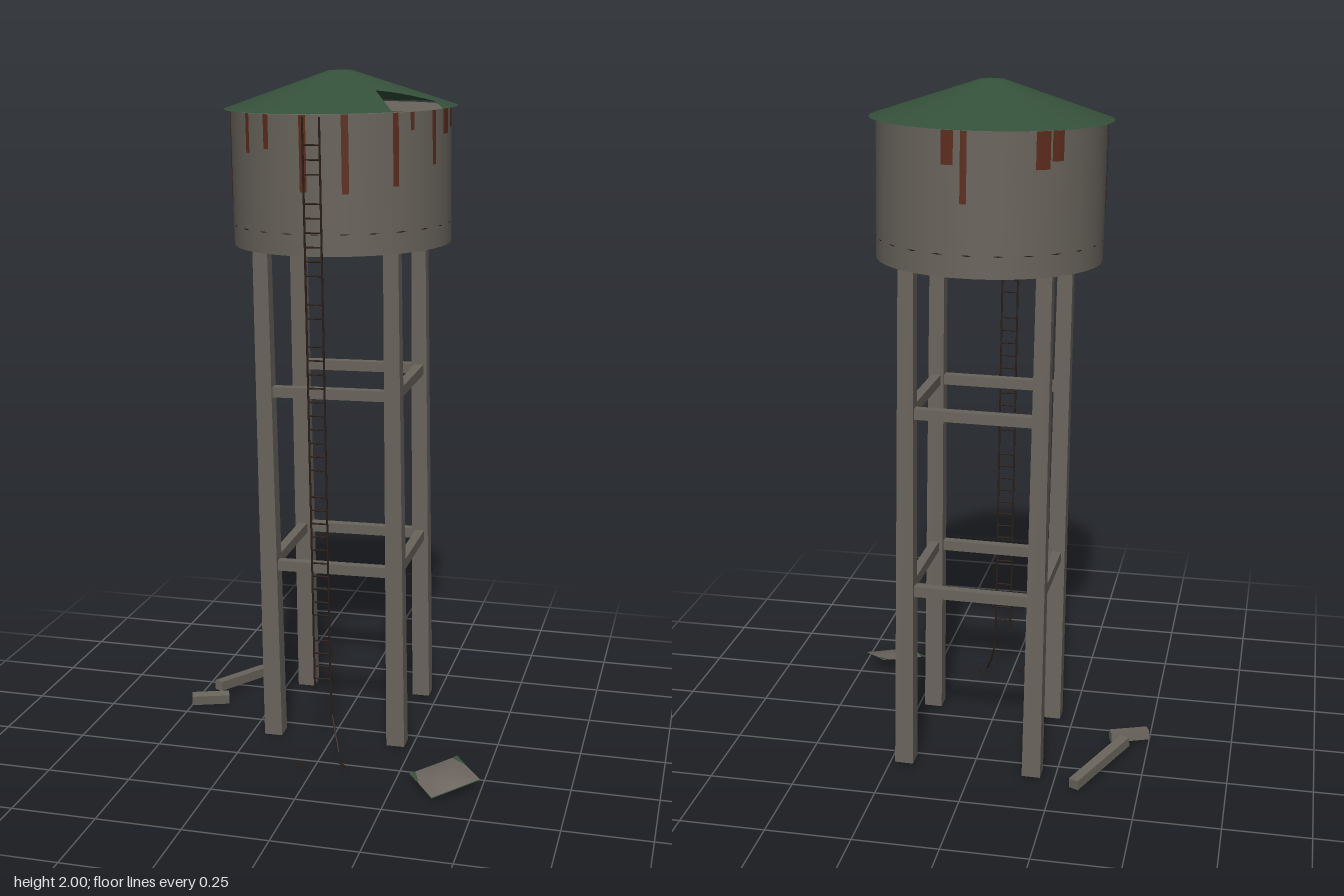
import * as THREE from 'three';

const mat = (name, color, side = THREE.FrontSide) => {
  const m = new THREE.MeshStandardMaterial({ color, side });
  m.name = name;
  return m;
};

export function createModel() {
  const steel = mat('weathered grey', 0x69645c);
  const sheet = mat('sheet grey', 0x69625c, THREE.DoubleSide);
  const green = mat('roof green', 0x34503a, THREE.DoubleSide);
  const rust = mat('rust', 0x5c2c1c, THREE.DoubleSide);
  const iron = mat('dark iron', 0x2c1e17);

  const model = new THREE.Group();
  const tower = new THREE.Group();
  tower.name = 'leaningTower';
  tower.position.set(0.01, 0.005, -0.12);
  tower.rotation.set(0.02, 0, 0.0133);
  model.add(tower);

  const add = (parent, name, geo, material, x = 0, y = 0, z = 0) => {
    const m = new THREE.Mesh(geo, material);
    m.name = name;
    m.position.set(x, y, z);
    parent.add(m);
    return m;
  };
  // Thin round bar through a few points
  const bar = (parent, name, pts, r = 0.003) => {
    for (let i = 0; i + 1 < pts.length; i++) {
      const a = new THREE.Vector3(...pts[i]), b = new THREE.Vector3(...pts[i + 1]);
      const m = add(parent, name, new THREE.CylinderGeometry(r, r, a.distanceTo(b), 6), iron);
      m.position.copy(a).lerp(b, 0.5);
      m.quaternion.setFromUnitVectors(new THREE.Vector3(0, 1, 0), b.sub(a).normalize());
    }
  };

  // Tapered square legs
  const S = 0.192;
  for (const x of [-S, S]) for (const z of [-S, S]) {
    const geo = new THREE.BoxGeometry(0.055, 1.506, 0.055);
    const p = geo.attributes.position;
    for (let i = 0; i < p.count; i++) {
      if (p.getY(i) > 0) p.setXYZ(i, p.getX(i) * 0.8, p.getY(i), p.getZ(i) * 0.8);
    }
    geo.computeVertexNormals();
    add(tower, 'leg', geo, steel, x, 0.753, z);
  }

  // Cross beams; the upper left one has fallen off
  for (const y of [0.547, 1.083]) {
    for (const s of [-1, 1]) {
      add(tower, 'crossBeam', new THREE.BoxGeometry(2 * S, 0.031, 0.028), steel, 0, y, s * S);
      if (s > 0 || y < 1) add(tower, 'sideBeam', new THREE.BoxGeometry(0.028, 0.031, 2 * S), steel, s * S, y, 0);
    }
  }

  // Tank with a seam ring that barely breaks the surface
  add(tower, 'tank', new THREE.CylinderGeometry(0.32, 0.32, 0.388, 48), steel, 0, 1.696, 0);
  const seam = add(tower, 'tankSeam', new THREE.TorusGeometry(0.3186, 0.0025, 6, 24), iron, 0, 1.563, 0);
  seam.rotation.x = Math.PI / 2;

  // Rust streaks: azimuth in degrees from the front, width, top, bottom
  const streaks = [
    [-80, 0.02, 1.89, 1.62], [-40, 0.016, 1.89, 1.78], [-26, 0.018, 1.89, 1.795],
    [-5, 0.02, 1.89, 1.68], [16, 0.02, 1.89, 1.675], [42, 0.018, 1.89, 1.69],
    [52, 0.014, 1.89, 1.84], [68, 0.016, 1.89, 1.74], [81, 0.038, 1.89, 1.82],
    [91, 0.026, 1.89, 1.835], [101, 0.01, 1.81, 1.58], [170, 0.034, 1.89, 1.8],
    [178, 0.018, 1.89, 1.7], [216, 0.042, 1.89, 1.79], [224, 0.036, 1.89, 1.81],
  ];
  for (const [deg, w, top, bottom] of streaks) {
    const a = w / 0.322, h = top - bottom;
    const geo = new THREE.CylinderGeometry(0.323, 0.323, h, 3, 1, true, deg * Math.PI / 180 - a / 2, a);
    add(tower, deg === 101 ? 'stain' : 'rustStreak', geo, deg === 101 ? sheet : rust, 0, bottom + h / 2, 0);
  }

  // Conical roof in polar strips, with a rectangular hole torn at the rim
  const R = 0.34;
  const P1 = [0.135, 0.13], P2 = [0.285, 0.045], P3 = [0.36, 0.175], P4 = [0.208, 0.258];
  const ang = (p) => Math.atan2(p[1], p[0]);
  const hit = (t, a, b) => { // distance along the ray at angle t to the line a-b
    const dx = b[0] - a[0], dz = b[1] - a[1];
    return (a[0] * dz - a[1] * dx) / (Math.cos(t) * dz - Math.sin(t) * dx);
  };
  const cut = (t) => {
    if (t <= ang(P2) || t >= ang(P4)) return R;
    return Math.min(R, t < ang(P1) ? hit(t, P1, P2) : hit(t, P1, P4));
  };
  const roofY = (r) => (r < 0.03 ? 1.998 : 1.893 + 0.103 * (R - r) / (R - 0.035));
  const pos = [];
  const strip = (t0, t1, inner, outer) => {
    const n = Math.max(2, Math.ceil((t1 - t0) / 0.1));
    const pt = (t, r) => [r * Math.cos(t), roofY(r), r * Math.sin(t)];
    for (let i = 0; i < n; i++) {
      const a = t0 + (t1 - t0) * i / n, b = t0 + (t1 - t0) * (i + 1) / n;
      const ia = pt(a, inner(a)), ib = pt(b, inner(b)), oa = pt(a, outer(a)), ob = pt(b, outer(b));
      pos.push(...ia, ...ib, ...oa, ...ib, ...ob, ...oa);
    }
  };
  const e = 1e-5, a2 = ang(P2), a1 = ang(P1), a4 = ang(P4);
  for (const [t0, t1] of [[a4 + e, a2 + Math.PI * 2 - e], [a2 + e, a1], [a1, a4 - e]]) {
    const edge = (t) => cut(t > Math.PI * 2 ? t - Math.PI * 2 : t);
    strip(t0, t1, () => 0, () => 0.035);
    strip(t0, t1, () => 0.035, edge);
  }
  // Slivers of rim left beside the hole
  strip(a2, 0.326, (t) => Math.min(R, hit(t, P2, P3)), () => R);
  strip(0.79, a4, (t) => Math.min(R, hit(t, P4, P3)), () => R);
  const roofGeo = new THREE.BufferGeometry();
  roofGeo.setAttribute('position', new THREE.Float32BufferAttribute(pos, 3));
  // Smooth cone normals
  const nor = [];
  for (let i = 0; i < pos.length; i += 3) {
    const r = Math.hypot(pos[i], pos[i + 2]) || 1;
    const k = r < 0.02 || r === 1 ? 0 : 0.338;
    const n = new THREE.Vector3(k * pos[i] / r, 1, k * pos[i + 2] / r).normalize();
    nor.push(n.x, n.y, n.z);
  }
  roofGeo.setAttribute('normal', new THREE.Float32BufferAttribute(nor, 3));
  add(tower, 'roof', roofGeo, green);

  // Ladder with a few missing rungs and a bent right rail
  const LZ = 0.333, LW = 0.024;
  bar(tower, 'ladderRail', [[-LW, 0.215, LZ], [-LW, 1.885, LZ]]);
  bar(tower, 'ladderRail', [[LW, 1.885, LZ], [LW, 0.22, LZ], [0.029, 0.14, LZ + 0.003], [0.042, 0.09, 0.355], [0.06, 0.045, 0.385]]);
  const missing = [4, 15, 26, 29, 36];
  for (let i = 0; i < 40; i++) {
    if (!missing.includes(i)) bar(tower, 'ladderRung', [[-LW, 0.25 + i * 0.04, LZ], [LW, 0.25 + i * 0.04, LZ]], 0.0025);
  }
  bar(model, 'fallenRung', [[-0.05, 0.014, 0.305], [-0.012, 0.014, 0.342]], 0.0025);
  bar(model, 'fallenRung', [[0.07, 0.014, 0.272], [0.11, 0.014, 0.308]], 0.0025);

  // Two pieces of the fallen beam
  const longPiece = add(model, 'fallenBeam', new THREE.BoxGeometry(0.03, 0.03, 0.28), steel, -0.375, 0.031, -0.255);
  longPiece.rotation.set(-0.07, -0.447, 0, 'YXZ');
  const shortPiece = add(model, 'fallenBeamEnd', new THREE.BoxGeometry(0.118, 0.03, 0.032), steel, -0.44, 0.025, -0.062);
  shortPiece.rotation.set(0.12, 0.36, 0, 'YXZ');

  // Fallen roof panel: underside up, green showing through at two corners
  const panel = (name, material, lift) => {
    const geo = new THREE.PlaneGeometry(2, 2, 12, 12);
    const p = geo.attributes.position;
    for (let i = 0; i < p.count; i++) {
      const u = p.getX(i), v = -p.getY(i);
      const x = 0.396 + 0.06 * u + 0.041 * v, z = 0.325 - 0.05 * u + 0.045 * v;
      const y = 0.033 + (0.325 - z) * 0.235 + 0.012 * (1 - u * u) * (1 - v * v);
      p.setXYZ(i, x, y + lift(u, v), z);
    }
    geo.computeVertexNormals();
    add(model, name, geo, material);
  };
  panel('fallenPanel', sheet, () => 0);
  panel('fallenPanelPaint', green, (u, v) => -0.003 + 0.0025 * u * u * (1 - v));

  return model;
}
